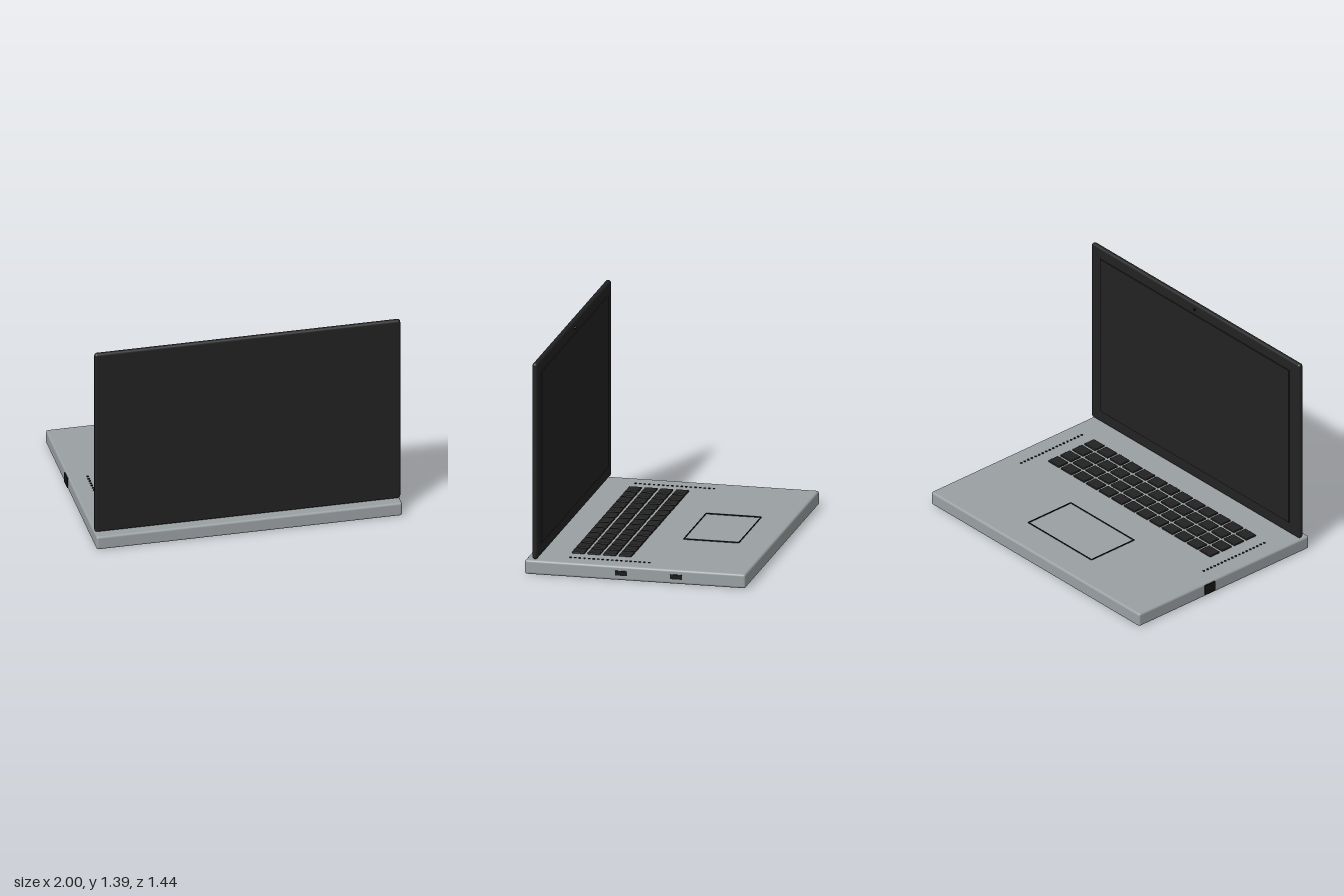
import * as THREE from 'three';
import { RoundedBoxGeometry } from 'three/addons/geometries/RoundedBoxGeometry.js';

const material = (name, color) => {
  const m = new THREE.MeshStandardMaterial({ color });
  m.name = name;
  return m;
};

export function createModel() {
  const metal = material('grey metal', 0x9aa0a2);
  const black = material('soft black', 0x222222);
  const dark = material('port black', 0x161616);

  const model = new THREE.Group();
  model.name = 'laptop';

  const add = (name, geometry, mat, x, y, z, parent = model) => {
    const mesh = new THREE.Mesh(geometry, mat);
    mesh.name = name;
    mesh.position.set(x, y, z);
    parent.add(mesh);
    return mesh;
  };
  const group = (name) => {
    const g = new THREE.Group();
    g.name = name;
    model.add(g);
    return g;
  };
  const box = (w, h, d) => new THREE.BoxGeometry(w, h, d);

  // Base slab
  const top = 0.093;
  add('base', new RoundedBoxGeometry(1.984, top, 1.436, 3, 0.015), metal, 0, top / 2, 0);

  // Upright lid, with the display on its inner side
  add('lid', new RoundedBoxGeometry(1.984, 1.29, 0.036, 3, 0.0175), black, 0, 0.744, 0.652);
  add('display', box(1.8, 1.125, 0.008), black, 0, 0.748, 0.631);
  const camera = add('camera', new THREE.CylinderGeometry(0.008, 0.008, 0.014, 16), dark, 0, 1.35, 0.629);
  camera.rotation.x = Math.PI / 2;

  // Keyboard: 4 rows of 13 keys
  const keyboard = group('keyboard');
  const keyGeometry = new RoundedBoxGeometry(0.102, 0.016, 0.082, 2, 0.004);
  for (let row = 0; row < 4; row++) {
    for (let col = 0; col < 13; col++) {
      add('key', keyGeometry, black, (col - 6) * 0.1202, top + 0.002, 0.118 + row * 0.102, keyboard);
    }
  }

  // Trackpad outlined by a fine dark rim
  const trackpad = group('trackpad');
  for (const s of [-1, 1]) {
    add('trackpadSide', box(0.004, 0.008, 0.36), dark, s * 0.3, top + 0.003, -0.328, trackpad);
    add('trackpadEdge', box(0.604, 0.008, 0.004), dark, 0, top + 0.003, -0.328 + s * 0.179, trackpad);
  }

  // Speaker holes along both sides of the keyboard
  const speakers = group('speakers');
  const holeGeometry = new THREE.CylinderGeometry(0.008, 0.008, 0.006, 12);
  for (const s of [-1, 1]) {
    for (let i = 0; i < 18; i++) {
      add('speakerHole', holeGeometry, dark, s * 0.87, top + 0.001, -0.062 + i * 0.03, speakers);
    }
  }

  // Two small ports on one side, one tall port on the other
  const ports = group('ports');
  for (const z of [0.09, -0.268]) {
    add('smallPort', box(0.009, 0.03, 0.078), dark, 0.9945, 0.048, z, ports);
  }
  add('tallPort', box(0.009, 0.066, 0.084), dark, -0.9945, 0.05, -0.123, ports);

  return model;
}
